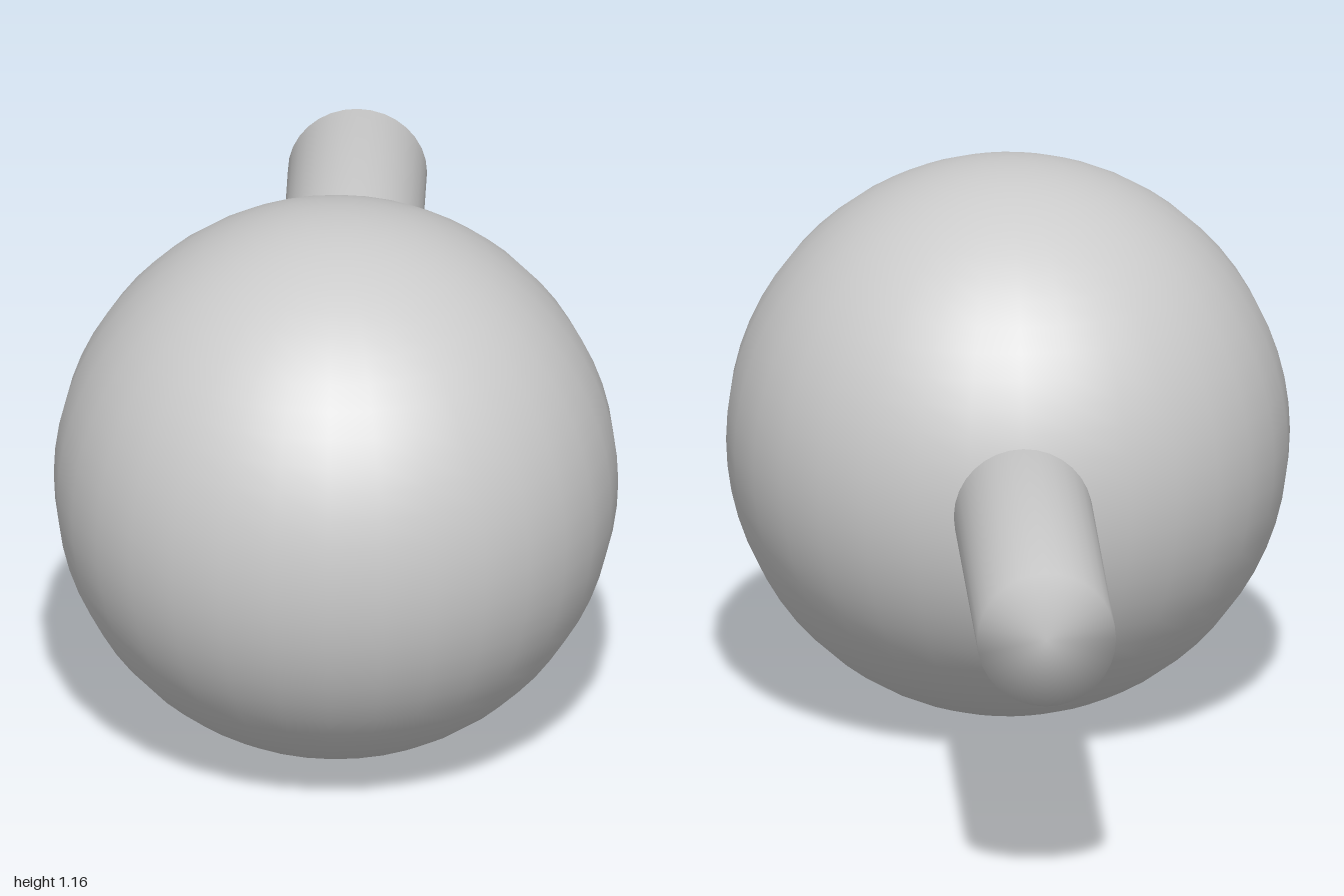
import * as THREE from 'three';
import { mergeVertices } from 'three/addons/utils/BufferGeometryUtils.js';

const RADIUS = 0.58;
const ROD_RADIUS = 0.143;
const CENTER_Y = 0.583;
const BALL_Z = 0.42;

// Weld all corners so the shading runs smoothly over the rims.
function smooth(geometry) {
  geometry.deleteAttribute('normal');
  geometry.deleteAttribute('uv');
  const welded = mergeVertices(geometry, 1e-4);
  welded.computeVertexNormals();
  return welded;
}

export function createModel() {
  const model = new THREE.Group();
  model.name = 'ballOnRod';
  const material = new THREE.MeshStandardMaterial({ color: 0xcccccc });

  // Large ball at the front
  const ball = new THREE.Mesh(new THREE.SphereGeometry(RADIUS, 32, 32), material);
  ball.name = 'ball';
  ball.position.set(0, CENTER_Y, BALL_Z);
  model.add(ball);

  // Rod running straight back from the ball's surface
  const start = BALL_Z - Math.sqrt(RADIUS ** 2 - ROD_RADIUS ** 2);
  const end = -1;
  const rodGeometry = smooth(new THREE.CylinderGeometry(ROD_RADIUS, ROD_RADIUS, start - end, 32));
  rodGeometry.rotateX(Math.PI / 2);
  const rod = new THREE.Mesh(rodGeometry, material);
  rod.name = 'rod';
  rod.position.set(0, CENTER_Y, (start + end) / 2);
  model.add(rod);

  return model;
}
